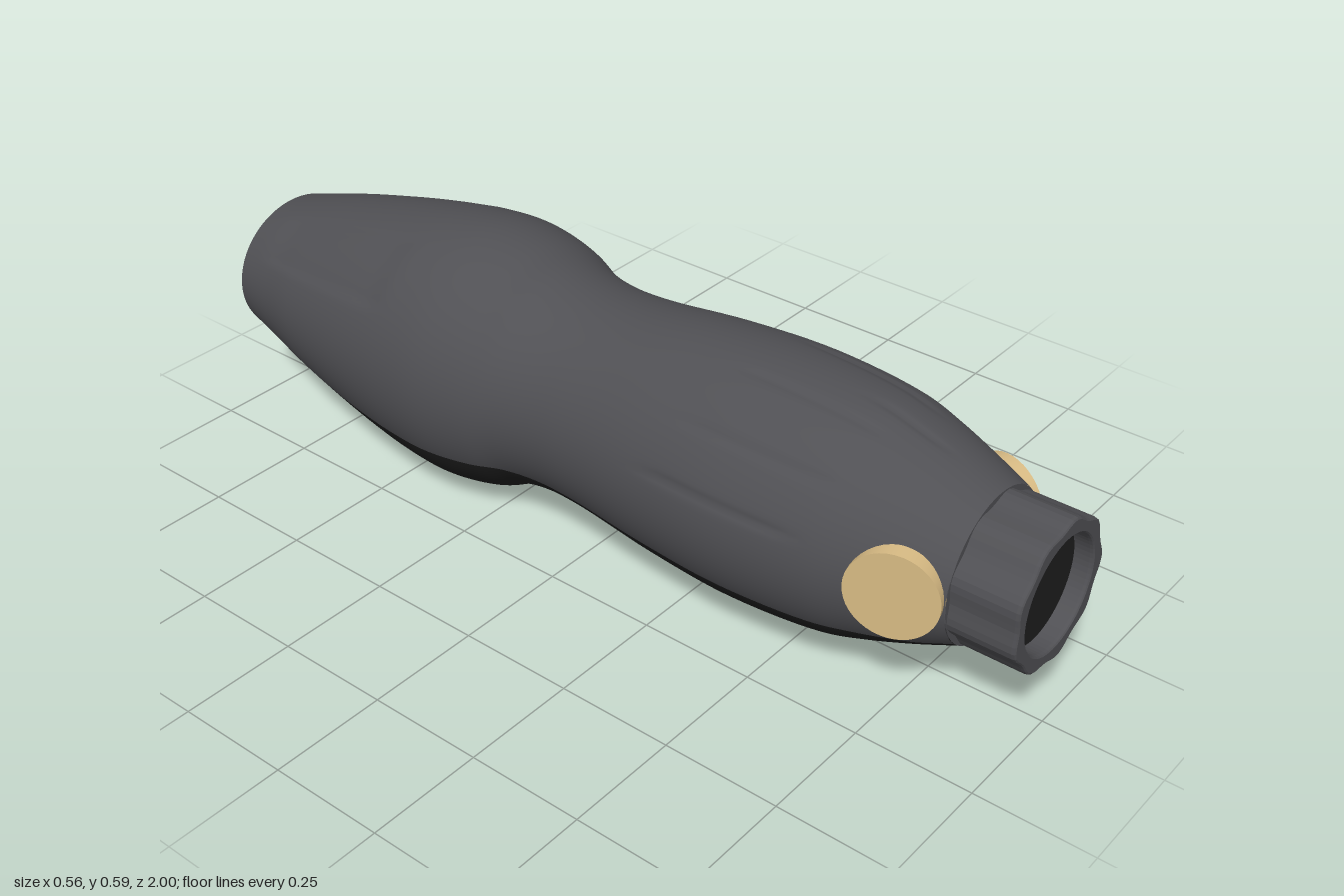
import * as THREE from 'three';

const CY = 0.298; // height of the long axis
const grey = new THREE.MeshStandardMaterial({ name: 'charcoal grey', color: 0x505054 });
const dark = new THREE.MeshStandardMaterial({ name: 'near black', color: 0x1e1e1e, side: THREE.DoubleSide });
const gold = new THREE.MeshStandardMaterial({ name: 'pale gold', color: 0xd8bb84 });

// Cross-sections along the body: half width, half height, z
const SECTIONS = [
  [0.175, 0.157, -1], [0.198, 0.187, -0.9], [0.223, 0.215, -0.8], [0.26, 0.263, -0.6],
  [0.278, 0.29, -0.45], [0.28, 0.295, -0.35], [0.262, 0.277, -0.25], [0.238, 0.245, -0.18],
  [0.227, 0.231, -0.1], [0.23, 0.232, 0], [0.25, 0.254, 0.2], [0.262, 0.262, 0.4],
  [0.246, 0.247, 0.6], [0.225, 0.226, 0.68], [0.195, 0.195, 0.77], [0.163, 0.158, 0.86],
];

// Shallow engraved lines: angle, start z, end z
const GROOVES = [
  [1.2, 0.35, 0.7], [1.57, 0.55, 0.78], [1.85, 0.3, 0.68], [0.75, 0.25, 0.65],
  [2.4, 0.25, 0.65], [0.26, 0.2, 0.6], [2.88, 0.2, 0.6],
];

function carve(a, z) {
  const { smoothstep } = THREE.MathUtils;
  let d = 0;
  for (const [g, z0, z1] of GROOVES) {
    const along = smoothstep(z, z0, z0 + 0.08) * (1 - smoothstep(z, z1 - 0.08, z1));
    d += 0.005 * along * Math.exp(-(((a - g) / 0.03) ** 2));
  }
  // Slightly sunken grip panels at the rear
  const panel = smoothstep(z, -0.95, -0.85) * (1 - smoothstep(z, -0.53, -0.48));
  for (const g of [0.85, Math.PI - 0.85])
    d += 0.006 * panel * (1 - smoothstep(Math.abs(a - g), 0.25, 0.34));
  return d;
}

// Body shell, with its dark underside as a second material group
function bodyGeometry() {
  const curve = new THREE.CatmullRomCurve3(SECTIONS.map((s) => new THREE.Vector3(...s)), false, 'centripetal');
  const rows = 90, upper = 110, lower = 40, n = upper + lower;
  const pos = [], top = [], under = [];
  for (let i = 0; i <= rows; i++) {
    const p = curve.getPoint(i / rows);
    const c = Math.asin(Math.min(0.135 / p.y, 0.72));
    for (let j = 0; j < n; j++) {
      const a = j < upper
        ? -c + (j / upper) * (Math.PI + 2 * c)
        : Math.PI + c + ((j - upper) / lower) * (Math.PI - 2 * c);
      const d = carve(a, p.z);
      pos.push((p.x - d) * Math.cos(a), CY + (p.y - d) * Math.sin(a), p.z);
      if (i === rows) continue;
      const k = (j + 1) % n, r = i * n, s = r + n;
      (j < upper ? top : under).push(r + j, r + k, s + j, r + k, s + k, s + j);
    }
  }
  const g = new THREE.BufferGeometry();
  g.setAttribute('position', new THREE.Float32BufferAttribute(pos, 3));
  g.setIndex([...top, ...under]);
  g.addGroup(0, top.length, 0);
  g.addGroup(top.length, under.length, 1);
  g.computeVertexNormals();
  return g;
}

// Fluted front collar, extruded with its bore
function collarGeometry() {
  const pts = [];
  for (let i = 0; i < 64; i++) {
    const a = (i / 64) * Math.PI * 2;
    const r = 0.152 + 0.005 * Math.cos(9 * a);
    pts.push(new THREE.Vector2(r * Math.cos(a), r * Math.sin(a)));
  }
  const shape = new THREE.Shape(pts);
  shape.holes.push(new THREE.Path().absarc(0, 0, 0.12, 0, Math.PI * 2, true));
  return new THREE.ExtrudeGeometry(shape, {
    depth: 0.16, bevelEnabled: true, bevelThickness: 0.008, bevelSize: 0.004, bevelOffset: -0.004,
    bevelSegments: 2, curveSegments: 32,
  });
}

export function createModel() {
  const model = new THREE.Group();
  model.name = 'handle';
  const add = (name, geometry, material, x = 0, y = CY, z = 0) => {
    const m = new THREE.Mesh(geometry, material);
    m.name = name;
    m.position.set(x, y, z);
    model.add(m);
    return m;
  };

  add('body', bodyGeometry(), [grey, dark], 0, 0, 0);

  // Front collar, shoulder and bore
  add('frontCollar', collarGeometry(), grey, 0, CY, 0.832);
  add('frontShoulder', new THREE.RingGeometry(0.12, 0.16, 48), grey, 0, CY, 0.86);
  add('frontBoreFloor', new THREE.CircleGeometry(0.122, 48), dark, 0, CY, 0.96);

  // Rear rim and socket
  const rim = add('rearRim', new THREE.RingGeometry(0.11, 0.157, 48), grey, 0, CY, -1);
  rim.rotation.y = Math.PI;
  rim.scale.x = 1.115;
  const wall = add('rearSocketWall',
    new THREE.CylinderGeometry(0.11, 0.1, 0.16, 40, 1, true).rotateX(-Math.PI / 2), dark, 0, CY, -0.92);
  wall.scale.x = 1.115;
  const floor = add('rearSocketFloor', new THREE.CircleGeometry(0.112, 40), grey, 0, CY, -0.85);
  floor.rotation.y = Math.PI;

  // Round side buttons lying against the tapering nose
  for (const [name, side] of [['leftButton', 1], ['rightButton', -1]]) {
    const g = new THREE.CylinderGeometry(0.093, 0.093, 0.034, 40).rotateZ(-Math.PI / 2);
    const b = add(name, g, gold, side * 0.187, 0.303, 0.768);
    b.rotation.y = side > 0 ? -0.27 : Math.PI + 0.27;
  }
  return model;
}
